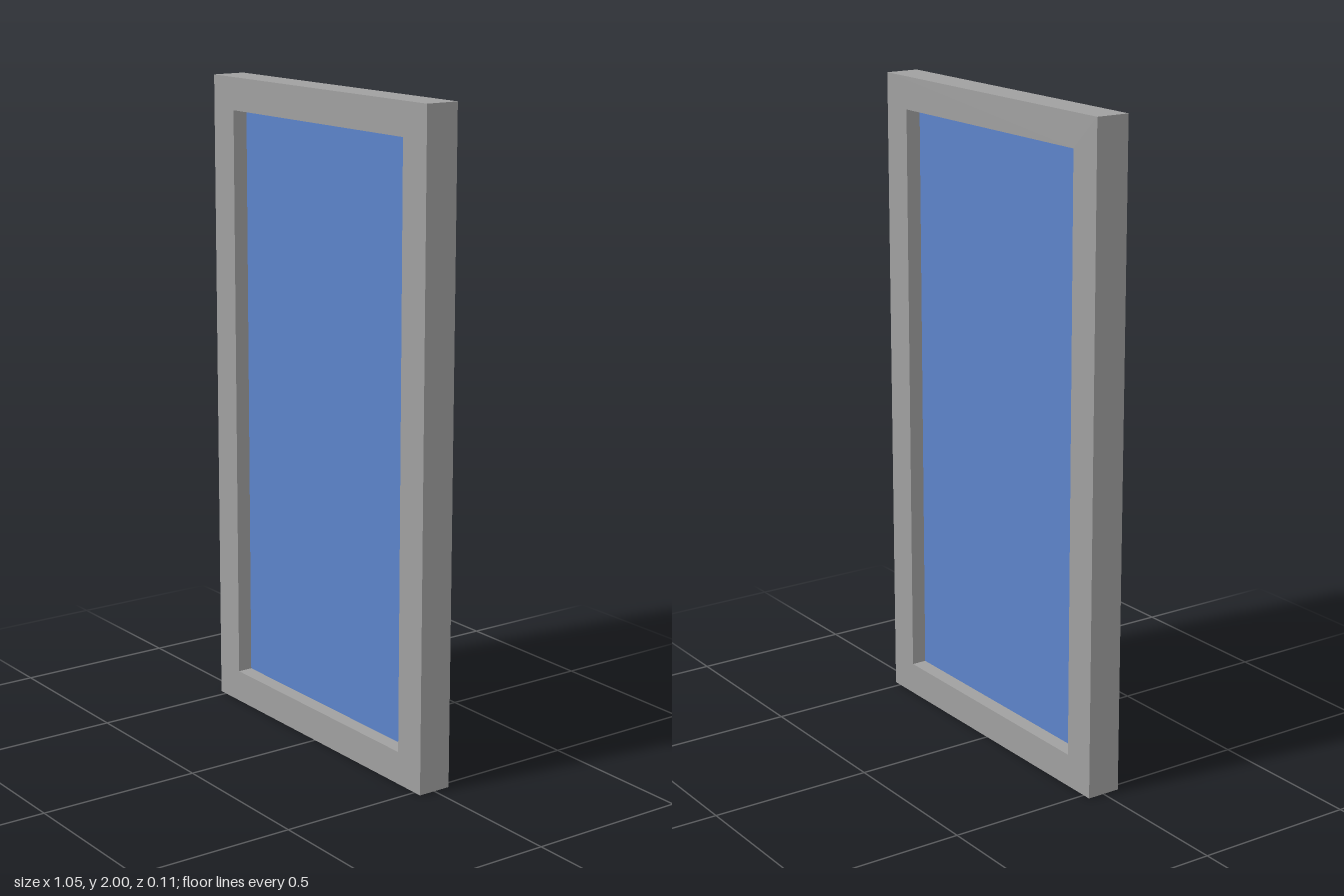
import * as THREE from 'three';

const W = 1.053, H = 2, D = 0.106;        // outer frame
const PANE_W = 0.842, PANE_H = 1.8;       // opening
const PANE_T = 0.012;

function rectangle(PathType, w, h) {
  const x = w / 2, y = h / 2;
  return new PathType([[-x, -y], [x, -y], [x, y], [-x, y]].map(p => new THREE.Vector2(...p)));
}

// Puts the underside triangles in material slot 1, all others in slot 0
function groupUnderside(geometry) {
  const pos = geometry.attributes.position;
  geometry.clearGroups();
  for (let i = 0; i < pos.count; i += 3) {
    const under = [0, 1, 2].every(k => pos.getY(i + k) < -H / 2 + 1e-4);
    geometry.addGroup(i, 3, under ? 1 : 0);
  }
}

export function createModel() {
  const frameGrey = new THREE.MeshStandardMaterial({ color: 0xa0a0a0 });
  frameGrey.name = 'frameGrey';
  const paneBlue = new THREE.MeshStandardMaterial({ color: 0x5c83ca });
  paneBlue.name = 'paneBlue';

  const model = new THREE.Group();
  model.name = 'framedPanel';

  // Frame: rectangle with an opening, blue underside
  const outline = rectangle(THREE.Shape, W, H);
  outline.holes.push(rectangle(THREE.Path, PANE_W, PANE_H));
  const frameGeometry = new THREE.ExtrudeGeometry(outline, { depth: D, bevelEnabled: false });
  frameGeometry.translate(0, 0, -D / 2);
  groupUnderside(frameGeometry);
  const frame = new THREE.Mesh(frameGeometry, [frameGrey, paneBlue]);
  frame.name = 'frame';
  frame.position.y = H / 2;
  model.add(frame);

  // Pane: thin sheet in the middle of the opening
  const pane = new THREE.Mesh(new THREE.BoxGeometry(PANE_W, PANE_H, PANE_T), paneBlue);
  pane.name = 'pane';
  pane.position.y = H / 2;
  model.add(pane);

  return model;
}
